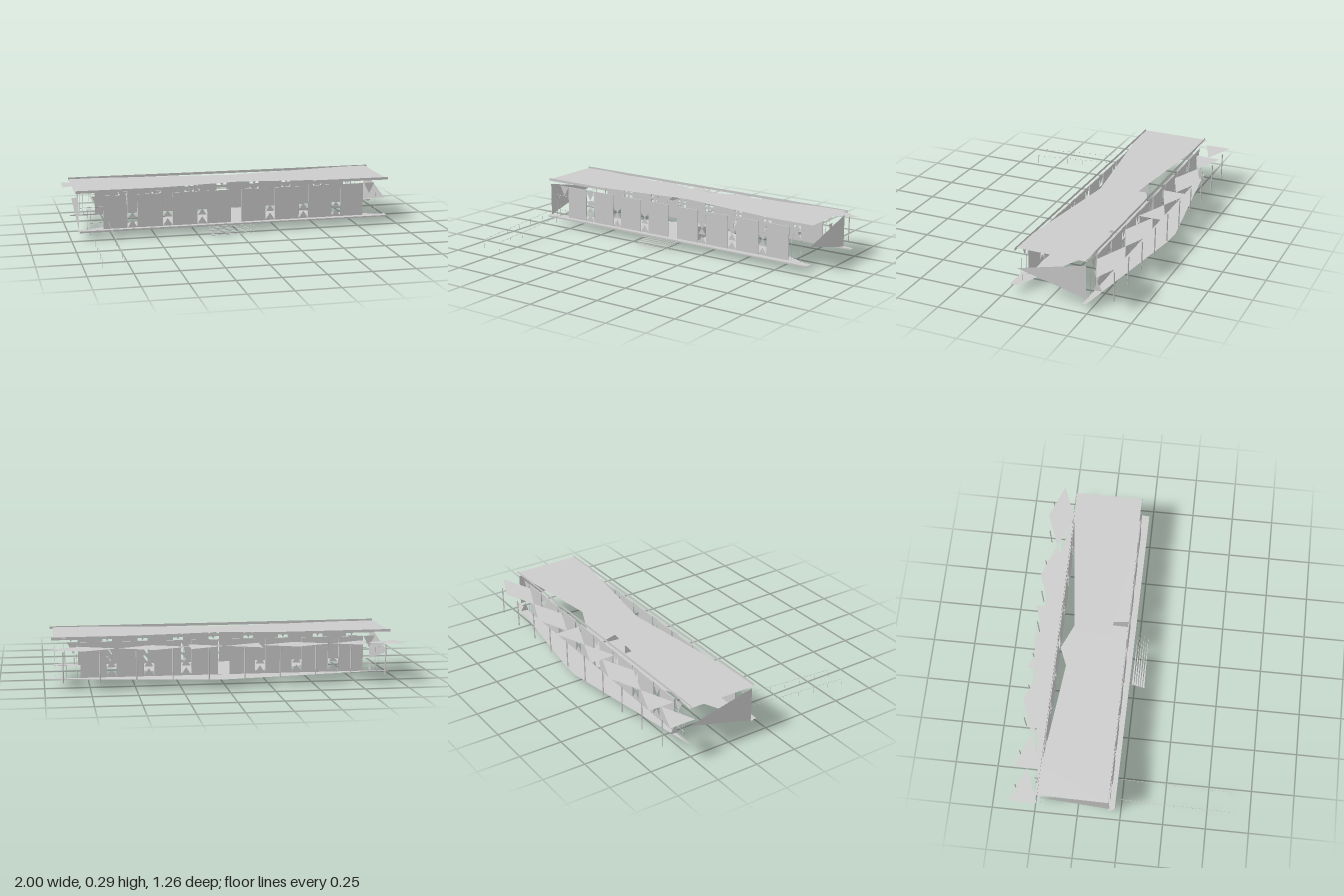
import * as THREE from 'three';

export function createModel() {
  const model = new THREE.Group();
  const mat = new THREE.MeshStandardMaterial({ color: 0xcccccc, side: THREE.DoubleSide, flatShading: true });

  function add(name, geometry) {
    const mesh = new THREE.Mesh(geometry, mat);
    mesh.name = name;
    model.add(mesh);
    return mesh;
  }
  // flat sheet from corner points, fanned from the first one
  function sheet(name, pts) {
    const pos = [];
    for (let i = 1; i < pts.length - 1; i++) pos.push(...pts[0], ...pts[i], ...pts[i + 1]);
    const g = new THREE.BufferGeometry();
    g.setAttribute('position', new THREE.Float32BufferAttribute(pos, 3));
    g.computeVertexNormals();
    return add(name, g);
  }
  const level = (name, y, pts) => sheet(name, pts.map(([x, z]) => [x, y, z]));
  const upright = (name, z, pts) => sheet(name, pts.map(([x, y]) => [x, y, z]));
  function rod(name, a, b, r = 0.0015) {
    const p = new THREE.Vector3(...a), q = new THREE.Vector3(...b);
    const m = add(name, new THREE.CylinderGeometry(r, r, p.distanceTo(q), 4));
    m.position.copy(p).add(q).multiplyScalar(0.5);
    m.quaternion.setFromUnitVectors(new THREE.Vector3(0, 1, 0), q.sub(p).normalize());
  }

  const front = -0.065, back = -0.47, base = 0.05, top = 0.25;

  // Roof: waisted sheet, in two halves that meet at the narrow middle
  const waist = [[0.035, -0.165], [0.035, -0.378]];
  level('roofRight', 0.275, [[-0.97, -0.065], [-0.75, -0.07], ...waist, [-0.8, -0.47], [-0.965, -0.485]]);
  level('roofLeft', 0.275, [[0.945, -0.07], [0.75, -0.07], ...waist, [0.8, -0.47], [0.945, -0.475]]);
  for (const z of [front, back])
    upright('roofFascia', z, [[-0.965, 0.27], [0, 0.268], [0.96, 0.264], [0.96, 0.28], [0, 0.282], [-0.965, 0.286]]);

  // Floor, front walkway and back terrace
  level('floor', base - 0.003, [[-0.96, -0.06], [0.945, -0.06], [0.01, -0.47]]);
  level('frontWalkway', base, [[-0.95, -0.035], [0.94, -0.022], [0.945, -0.07], [-0.965, -0.07]]);
  upright('walkwayEdge', -0.03, [[-0.95, 0.04], [0.94, 0.04], [0.94, base], [-0.95, base]]);
  level('backTerrace', base, [[-0.97, -0.48], [0, -0.625], [0.1, -0.62], [0.99, -0.49], [0.99, -0.47]]);
  upright('terraceEdge', back, [[-0.96, 0.042], [0.99, 0.042], [0.99, base], [-0.96, base]]);

  // Wall panels and the windows between them, on both long sides
  const panels = [[-0.805, -0.665], [-0.6, -0.45], [-0.39, -0.24], [-0.18, -0.035],
    [0.03, 0.18], [0.24, 0.39], [0.45, 0.6], [0.655, 0.8]];
  const gaps = [-0.84, -0.632, -0.42, -0.21, 0, 0.21, 0.42, 0.628, 0.84];
  for (const z of [front, back]) {
    for (const [a, b] of panels) {
      const m = add('wallPanel', new THREE.BoxGeometry(b - a, top - base, 0.006));
      m.position.set((a + b) / 2, (top + base) / 2, z);
    }
    for (const x of gaps) {
      upright('transomPane', z, [[x - 0.033, top], [x + 0.033, top], [x, 0.185]]);
      if (x === 0 || Math.abs(x) > 0.8) continue;
      upright('upperPane', z, [[x - 0.03, 0.178], [x + 0.03, 0.178], [x, 0.14]]);
      upright('lowerPane', z, [[x - 0.025, 0.105], [x + 0.025, 0.105], [x, 0.145]]);
      upright('sillPane', z, [[x - 0.03, base], [x + 0.03, base], [x, 0.095]]);
      for (const s of [-1, 1])
        rod('windowFrame', [x + s * 0.03, base, z], [x + s * 0.03, top, z]);
    }
    for (const x of [-0.9, -0.88, 0.82, 0.88])
      rod('cornerFrame', [x, base, z], [x, 0.185, z]);
    rod('cornerRail', [-0.9, 0.185, z], [-0.8, 0.185, z]);
    rod('cornerRail', [-0.9, 0.09, z], [-0.8, 0.09, z]);
  }

  // Triangular end walls, each upright at the opposite corner
  sheet('leftEndWall', [[0.94, top, back], [0.94, 0.055, back], [0.94, 0.152, front]]);
  sheet('rightEndWall', [[-0.95, top, front], [-0.95, 0.045, front], [-0.95, 0.155, back]]);

  // Inner partitions and open back doors
  sheet('partition', [[-0.18, 0.2, -0.25], [-0.18, 0.25, -0.39], [-0.18, 0.2, -0.39]]);
  sheet('partition', [[0.18, 0.15, front], [0.18, 0.06, front], [0.18, 0.08, -0.35]]);
  for (const x of [-0.84, 0.84]) {
    sheet('backDoor', [[x, 0.175, back], [x, 0.175, -0.515], [x, 0.11, -0.49]]);
    sheet('backDoor', [[x, 0.055, back], [x, 0.06, -0.52], [x, 0.11, -0.49]]);
  }

  // Flat awnings over the terrace: triangles and kites
  const zOut = -0.63, zMid = -0.552, zIn = -0.472, awn = 0.225;
  for (const [x, tip] of [[-1, -0.8], [-0.8, -0.6], [-0.2, 0], [0.2, 0]])
    level('awningTriangle', awn, [[x, zOut], [x, zIn], [tip, zMid]]);
  for (const x of [-0.4, 0.4, 0.8])
    level('awningKite', awn, [[x - 0.2, zMid], [x, zIn], [x + 0.2, zMid], [x, zOut]]);
  for (let i = 0; i < 10; i++) {
    const x = -0.9 + i * 0.2;
    rod('awningPost', [x, base, -0.61], [x, 0.222, -0.612], 0.004);
  }

  // Front steps: thin tapering treads
  for (let i = 0; i < 6; i++) {
    const y = 0.042 - i * 0.007, z = -0.012 + i * 0.013;
    level('stepTread', y, [[-0.18, z - 0.004], [0.13 + (i % 2) * 0.03, z], [-0.18, z + 0.007]]);
    upright('stepRiser', z, [[-0.18, y - 0.004], [0.14, y], [-0.18, y]]);
  }

  // Ramp handrails with short posts
  for (const x of [-0.9, -0.78]) {
    rod('rampRail', [x, 0.053, 0.628], [x, 0.098, -0.015], 0.001);
    for (const z of [0.628, 0.522, 0.415, 0.305, 0.2, 0.09]) {
      const y = 0.098 - 0.07 * (z + 0.015);
      rod('rampPost', [x, z > 0.6 ? 0 : y - 0.035, z], [x, y, z], 0.001);
    }
  }
  return model;
}
